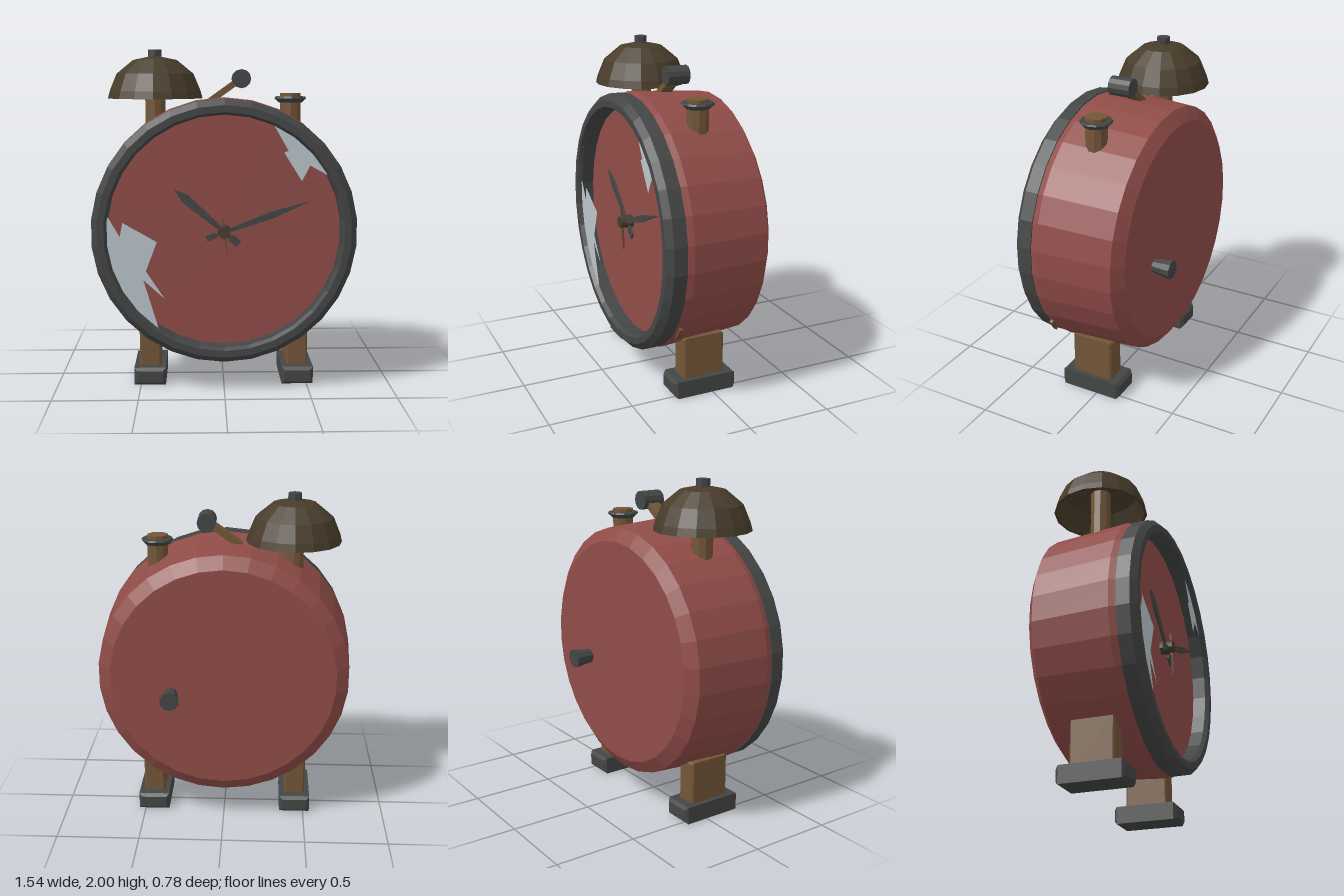
import * as THREE from 'three';

const CY = 0.95;  // height of the dial centre
const CZ = 0.045; // depth of the feet, posts and bell

function makeMaterial(name, color, side = THREE.FrontSide) {
  const m = new THREE.MeshStandardMaterial({ color, flatShading: true, side });
  m.name = name;
  return m;
}

// Box with chamfered edges, centred on its origin
function chamferBox(w, h, d, c) {
  const x = w / 2 - c, y = h / 2 - c;
  const s = new THREE.Shape([[-x, -y], [x, -y], [x, y], [-x, y]].map(p => new THREE.Vector2(...p)));
  return new THREE.ExtrudeGeometry(s, {
    depth: d - 2 * c, bevelEnabled: true, bevelSize: c, bevelThickness: c, bevelSegments: 1,
  }).translate(0, 0, -(d / 2 - c));
}

const lathe = (pts, sides) => new THREE.LatheGeometry(pts.map(p => new THREE.Vector2(...p)), sides);

export function createModel() {
  const red = makeMaterial('faded red paint', 0x904c48);
  const dark = makeMaterial('dark metal', 0x444545);
  const brown = makeMaterial('brown brass', 0x735638);
  const bronze = makeMaterial('dark bronze', 0x483c2a, THREE.DoubleSide);
  const rust = makeMaterial('rusty brown', 0x6b4a35);
  const glassMat = makeMaterial('pale glass', 0xbac6cc, THREE.DoubleSide);

  const root = new THREE.Group();
  const add = (name, geo, mat, x = 0, y = 0, z = 0) => {
    const m = new THREE.Mesh(geo, mat);
    m.name = name;
    m.position.set(x, y, z);
    root.add(m);
    return m;
  };

  // Case, with the recessed dial as its front cap
  add('case', lathe([[0, -0.275], [0.67, -0.275], [0.745, -0.225], [0.775, 0.235],
    [0.76, 0.285], [0, 0.285]], 30).rotateX(Math.PI / 2), red, 0, CY, 0);

  // Front rim
  add('rim', lathe([[0.68, 0.275], [0.77, 0.275], [0.77, 0.355], [0.735, 0.39],
    [0.695, 0.39], [0.68, 0.365], [0.68, 0.275]], 30).rotateX(Math.PI / 2), dark, 0, CY, 0);

  // Hands: pointed blade with a paddle tail, laid along +x and turned
  function hand(name, tip, tail, width, widest, z, mat) {
    const len = Math.hypot(...tip), w = width / 2;
    const half = [[-tail, w * 0.8], [-tail * 0.5, w * 0.8], [-tail * 0.4, w * 0.4],
      [0, w * 0.4], [len * widest, w]];
    const pts = [...half.map(([x, y]) => [x, -y]), [len, 0], ...half.reverse()];
    const geo = new THREE.ExtrudeGeometry(new THREE.Shape(pts.map(p => new THREE.Vector2(...p))),
      { depth: 0.012, bevelEnabled: false });
    add(name, geo, mat, 0, CY, z).rotation.z = Math.atan2(tip[1], tip[0]);
  }
  hand('hourHand', [-0.29, 0.25], 0.11, 0.055, 0.78, 0.31, dark);
  hand('minuteHand', [0.495, 0.18], 0.11, 0.042, 0.55, 0.326, dark);
  hand('secondHand', [0.022, -0.165], 0.085, 0.012, 0.3, 0.342, rust);
  add('handHub', new THREE.CylinderGeometry(0.036, 0.04, 0.08, 10).rotateX(Math.PI / 2),
    bronze, 0, CY, 0.323);

  // Remaining pieces of broken glass: jagged edge closed along the rim
  function glass(name, pts, clockwise) {
    const s = new THREE.Shape(pts.map(p => new THREE.Vector2(...p)));
    const a = pts[pts.length - 1], b = pts[0];
    s.absarc(0, 0, 0.682, Math.atan2(a[1], a[0]), Math.atan2(b[1], b[0]), clockwise);
    add(name, new THREE.ShapeGeometry(s, 10), glassMat, 0, CY, 0.365);
  }
  glass('glassShardRight', [[-0.672, 0.1], [-0.603, -0.02], [-0.587, 0.063], [-0.39, -0.05],
    [-0.455, -0.222], [-0.347, -0.386], [-0.47, -0.275], [-0.386, -0.556]], true);
  glass('glassShardLeft', [[0.286, 0.613], [0.365, 0.475], [0.34, 0.465], [0.444, 0.3],
    [0.49, 0.39], [0.585, 0.338]], false);

  // Legs and feet
  for (const side of [-1, 1]) {
    add('leg', chamferBox(0.128, 0.28, 0.26, 0.01), brown, side * 0.445, 0.22, CZ);
    add('foot', chamferBox(0.19, 0.105, 0.395, 0.018), dark, side * 0.445, 0.0525, CZ);
  }

  // Bell on its post
  add('bellPost', new THREE.CylinderGeometry(0.062, 0.062, 0.42, 10), brown, -0.405, 1.64, CZ);
  add('bell', lathe([[0.265, 1.715], [0.282, 1.715], [0.27, 1.76], [0.228, 1.86],
    [0.13, 1.94], [0, 1.967]], 16), bronze, -0.405, 0, CZ);
  add('bellNut', new THREE.CylinderGeometry(0.04, 0.04, 0.06, 8), dark, -0.405, 1.97, CZ);

  // Bare post whose bell is missing
  add('barePost', new THREE.CylinderGeometry(0.063, 0.063, 0.3, 10), brown, 0.402, 1.595, CZ);
  add('postCollar', lathe([[0, 1.69], [0.07, 1.69], [0.095, 1.715], [0.09, 1.725], [0, 1.725]], 12),
    dark, 0.402, 0, CZ);

  // Hammer, leaning to the left
  const rod = add('hammerRod', new THREE.BoxGeometry(0.27, 0.036, 0.075), brown, 0.004, 1.757, 0.04);
  rod.rotation.z = 0.62;
  add('hammerHead', new THREE.CylinderGeometry(0.056, 0.056, 0.135, 12).rotateX(Math.PI / 2),
    dark, 0.108, 1.83, 0.042);

  // Winding knob on the back, flaring outward
  add('windingKnob', new THREE.CylinderGeometry(0.04, 0.058, 0.13, 10).rotateX(Math.PI / 2),
    dark, 0.31, 0.855, -0.325);

  // Small splinter beside the rim
  add('splinter', new THREE.BoxGeometry(0.085, 0.022, 0.02), rust, 0.603, 0.455, 0.25).rotation.z = 0.98;

  return root;
}
